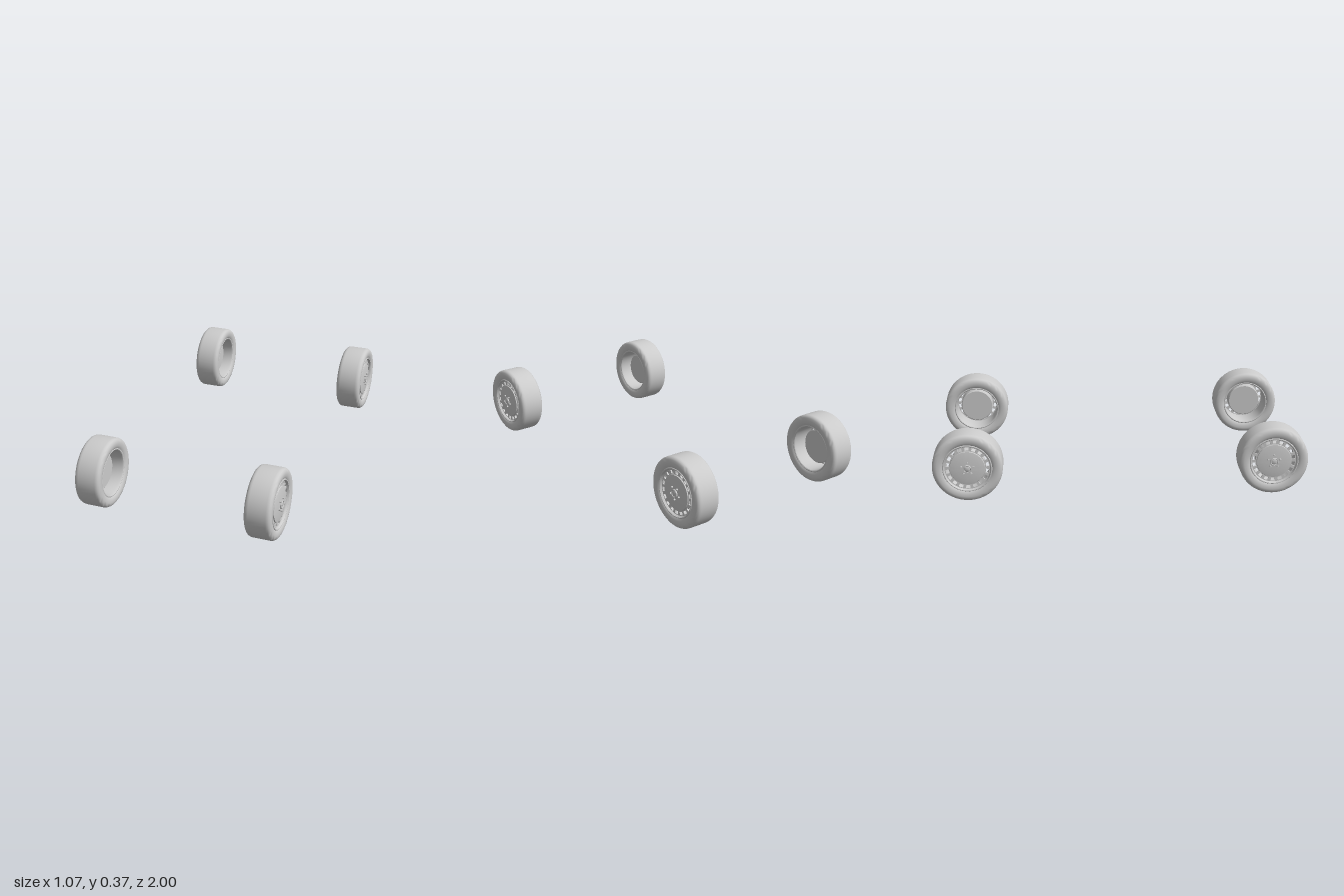
import * as THREE from 'three';
import { toCreasedNormals } from 'three/addons/utils/BufferGeometryUtils.js';

const SEGMENTS = 64;
const HOLES = 18;
const material = new THREE.MeshStandardMaterial({ color: 0xcccccc, side: THREE.DoubleSide });

// Turn a [radius, height] profile around the wheel axle (local y, outward = +y).
function turned(profile, crease = 0.6) {
  const points = profile.map(([r, y]) => new THREE.Vector2(r, y));
  return toCreasedNormals(new THREE.LatheGeometry(points, SEGMENTS), crease);
}

// Tyre: one sidewall as points, mirrored for the other.
function tyreGeometry() {
  const side = [[0.186, 0.046], [0.185, 0.055], [0.181, 0.063], [0.173, 0.069],
    [0.16, 0.0715], [0.145, 0.07], [0.134, 0.066], [0.127, 0.06]];
  const inner = side.map(([r, y]) => [r, -y]).reverse();
  return turned([...inner, ...side], 1);
}

// Rim: rounded outer lip, open barrel, rounded inner lip.
function rimGeometry() {
  return turned([[0.132, 0.062], [0.129, 0.067], [0.125, 0.067], [0.121, 0.061],
    [0.119, 0.052], [0.119, -0.052], [0.122, -0.062], [0.126, -0.065], [0.132, -0.063]]);
}

// Wheel face: thin plate pierced by a ring of rounded slots.
function faceGeometry() {
  const plate = new THREE.Shape().absarc(0, 0, 0.121, 0, Math.PI * 2);
  const half = Math.PI / HOLES * 0.6;
  for (let i = 0; i < HOLES; i++) {
    const a = i / HOLES * Math.PI * 2;
    const slot = new THREE.Path();
    slot.absarc(0, 0, 0.115, a - half, a + half, false);
    slot.absarc(0, 0, 0.098, a + half, a - half, true);
    slot.closePath();
    plate.holes.push(slot);
  }
  const geometry = new THREE.ExtrudeGeometry(plate,
    { depth: 0.008, bevelEnabled: false, curveSegments: 32 });
  return toCreasedNormals(geometry.rotateX(-Math.PI / 2).translate(0, 0.047, 0), 0.6);
}

// Centre dish: gently domed cover in front, flat floor behind.
function dishGeometry() {
  return turned([[0, -0.012], [0.09, -0.012], [0.094, -0.008], [0.094, 0.055],
    [0.092, 0.06], [0.087, 0.061], [0.06, 0.064], [0.03, 0.066], [0, 0.067]]);
}

// Plain hub cap with a raised rim.
function capGeometry() {
  return turned([[0.021, 0.064], [0.021, 0.073], [0.019, 0.0745],
    [0.017, 0.073], [0.016, 0.071], [0, 0.072]]);
}

export function createModel() {
  const model = new THREE.Group();
  model.name = 'wheelSet';

  const parts = {
    tyre: tyreGeometry(),
    rim: rimGeometry(),
    wheelFace: faceGeometry(),
    centreDish: dishGeometry(),
    hubCap: capGeometry(),
  };
  const boltGeometry = toCreasedNormals(new THREE.CylinderGeometry(0.005, 0.006, 0.012, 6), 0.6);

  function wheel(name) {
    const group = new THREE.Group();
    group.name = name;
    for (const [part, geometry] of Object.entries(parts)) {
      const mesh = new THREE.Mesh(geometry, material);
      mesh.name = part;
      group.add(mesh);
    }
    // Five wheel bolts around the hub cap
    for (let i = 0; i < 5; i++) {
      const a = i / 5 * Math.PI * 2;
      const bolt = new THREE.Mesh(boltGeometry, material);
      bolt.name = 'wheelBolt';
      bolt.position.set(Math.cos(a) * 0.034, 0.068, Math.sin(a) * 0.034);
      group.add(bolt);
    }
    return group;
  }

  // Four wheels, each with its face pointing outward
  for (const [sideName, sx] of [['Left', 1], ['Right', -1]]) {
    for (const [endName, sz] of [['front', 1], ['rear', -1]]) {
      const w = wheel(`${endName}${sideName}Wheel`);
      w.rotation.z = -sx * Math.PI / 2;
      w.position.set(sx * 0.4615, 0.187, sz * 0.814);
      model.add(w);
    }
  }
  return model;
}
